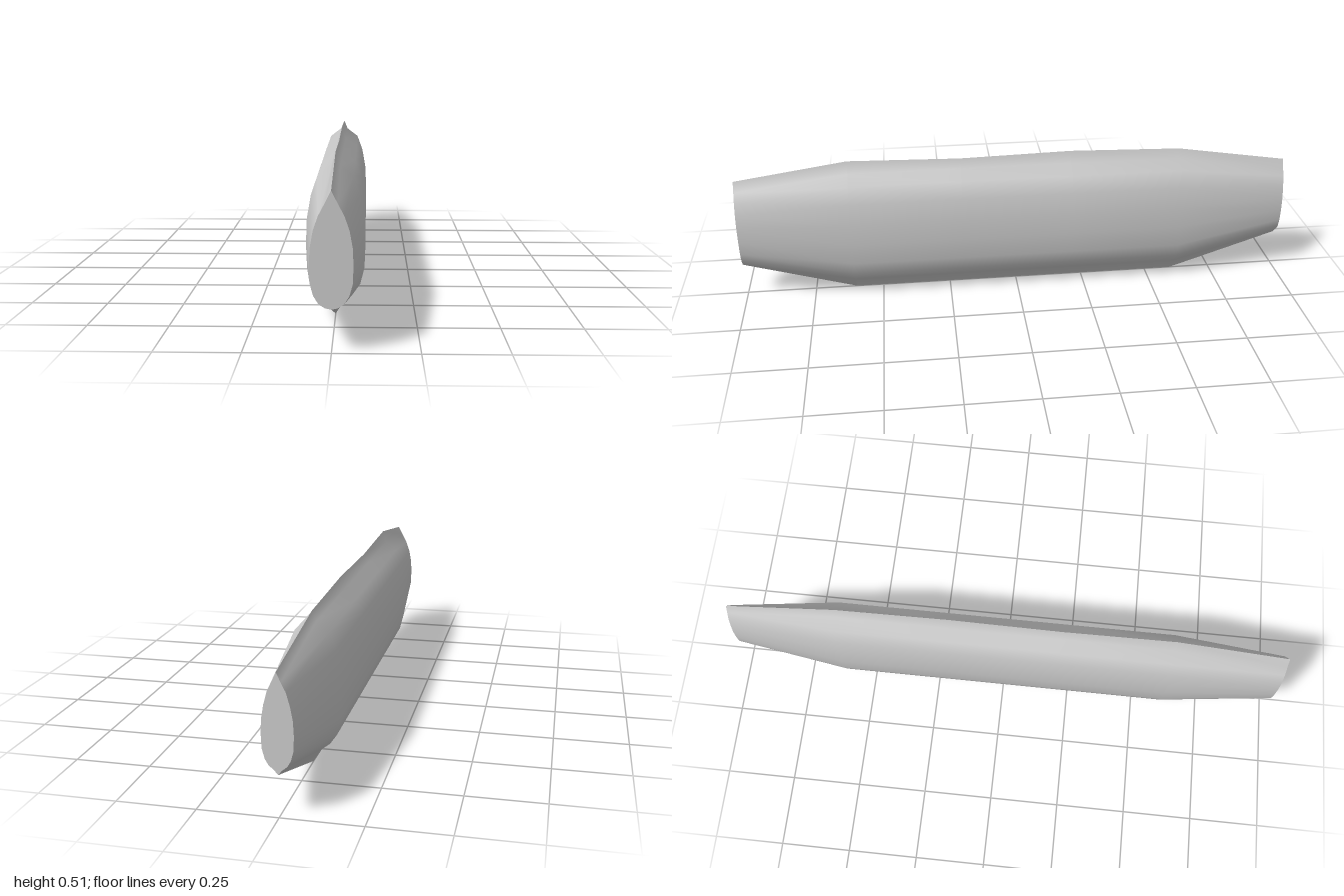
import * as THREE from 'three';
import { toCreasedNormals } from 'three/addons/utils/BufferGeometryUtils.js';

// Half cross-sections, keel to ridge, as [x, y]
const middle = [[0, 0], [0.028, 0.044], [0.055, 0.065], [0.077, 0.097], [0.09, 0.148], [0.093, 0.225],
  [0.09, 0.305], [0.077, 0.38], [0.056, 0.438], [0.014, 0.47], [0, 0.515]];
const front = [[0, 0.125], [0.018, 0.129], [0.036, 0.141], [0.05, 0.164], [0.059, 0.197], [0.061, 0.247],
  [0.059, 0.297], [0.05, 0.347], [0.036, 0.387], [0.018, 0.421], [0, 0.457]];
const back = [[0, 0.133], [0.012, 0.148], [0.027, 0.16], [0.038, 0.179], [0.046, 0.209], [0.048, 0.253],
  [0.046, 0.299], [0.038, 0.343], [0.027, 0.383], [0.013, 0.411], [0, 0.44]];

// Same section with its ridge set to a given height
const withRidge = (half, top) => half.map(([x, y], i) => [x, i === half.length - 1 ? top : y]);

// Mirror a half section into a closed ring at depth z
function ring(half, z) {
  const mirrored = half.slice(1, -1).reverse().map(([x, y]) => [-x, y]);
  return [...half, ...mirrored].map(([x, y]) => new THREE.Vector3(x, y, z));
}

// Skin the rings from front to back and close both ends
function loft(rings) {
  const points = [];
  const tri = (...corners) => corners.forEach((p) => points.push(p.x, p.y, p.z));
  const n = rings[0].length;
  for (let i = 0; i < rings.length - 1; i++) {
    for (let j = 0; j < n; j++) {
      const k = (j + 1) % n;
      const a = rings[i], b = rings[i + 1];
      tri(a[j], b[j], a[k]);
      tri(a[k], b[j], b[k]);
    }
  }
  const cap = (r, flip) => {
    const centre = r.reduce((sum, p) => sum.add(p), new THREE.Vector3()).divideScalar(n);
    for (let j = 0; j < n; j++) {
      const k = (j + 1) % n;
      if (flip) tri(centre, r[k], r[j]);
      else tri(centre, r[j], r[k]);
    }
  };
  cap(rings[0], false);
  cap(rings[rings.length - 1], true);
  const geometry = new THREE.BufferGeometry();
  geometry.setAttribute('position', new THREE.Float32BufferAttribute(points, 3));
  return toCreasedNormals(geometry, 0.8);
}

export function createModel() {
  const group = new THREE.Group();
  // Hull: straight middle with a gently waved ridge, tapered to flat ends
  const rings = [
    ring(front, 1),
    ring(middle, 0.6),
    ring(withRidge(middle, 0.505), 0.2),
    ring(withRidge(middle, 0.514), -0.2),
    ring(withRidge(middle, 0.503), -0.6),
    ring(back, -1),
  ];
  const hull = new THREE.Mesh(loft(rings), new THREE.MeshStandardMaterial({ color: 0xcccccc }));
  hull.name = 'hull';
  group.add(hull);
  return group;
}
